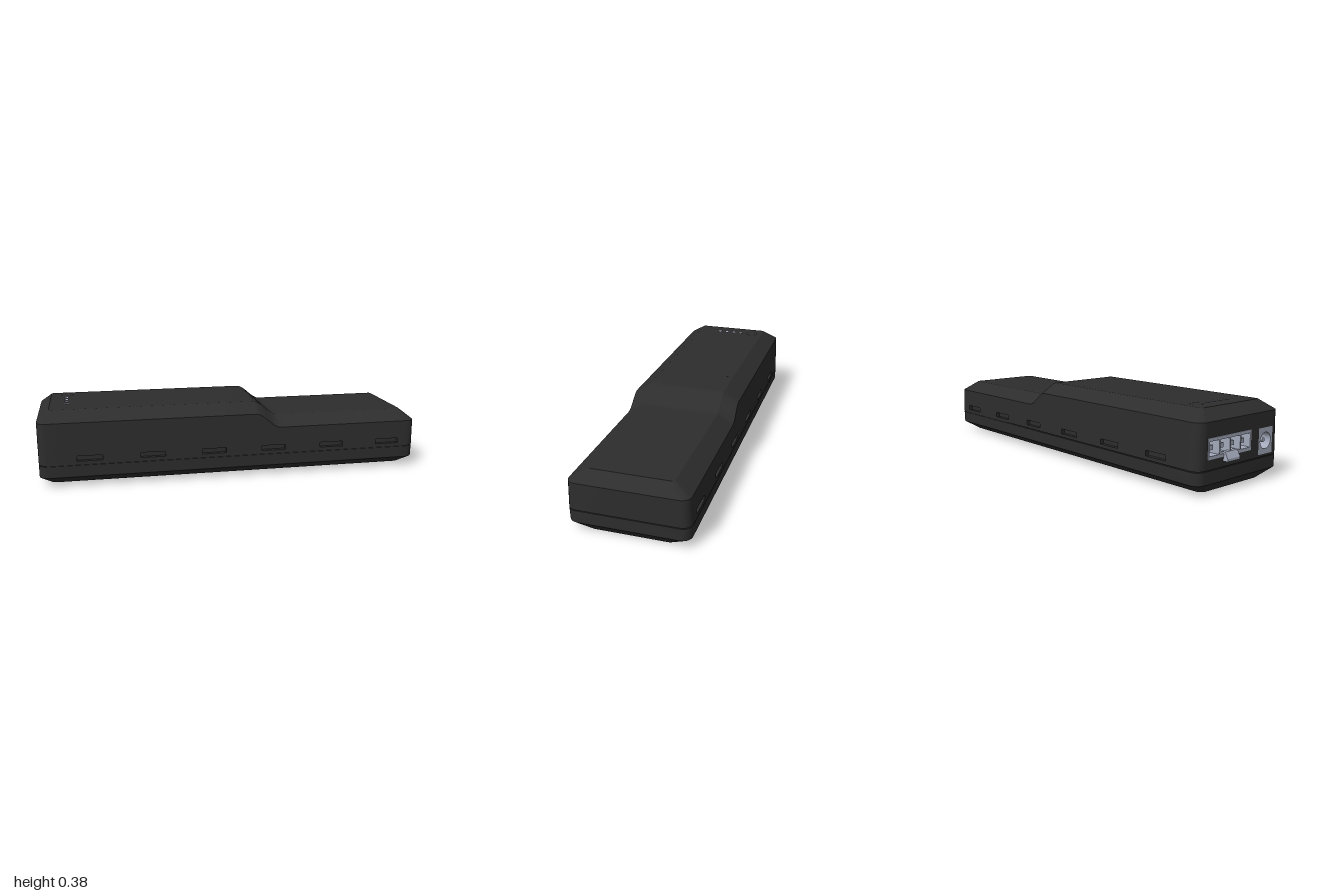
import * as THREE from 'three';
import { toCreasedNormals } from 'three/addons/utils/BufferGeometryUtils.js';

const mat = (name, color) => new THREE.MeshStandardMaterial({ name, color });
const END = -0.975; // x of the connector end face
const SEAM = 0.114;

// Height of the stepped lid along the length
const topAt = x => 0.375 - 0.075 * THREE.MathUtils.smoothstep(x, 0.12, 0.25);
// Half depth of the walls, with a slight draft
const halfDepth = y => 0.287 - 0.033 * (y - 0.11);

// Lengthwise columns between the corner arcs; slot edges are doubled
function makeColumns() {
  const cols = [];
  for (let i = 0; i < 6; i++) {
    const c = -0.725 + i * 0.313;
    const a = c - 0.0625, b = c + 0.0625;
    cols.push({ x: a, slot: false }, { x: a, slot: true }, { x: b, slot: true }, { x: b, slot: false });
  }
  const slots = [...cols];
  for (let i = 0; i <= 12; i++) {
    const x = 0.12 + (0.13 * i) / 12;
    const slot = slots.some((s, k) => k % 4 === 1 && x > s.x && x < slots[k + 1].x);
    cols.push({ x, slot });
  }
  return cols.sort((p, q) => p.x - q.x);
}

// One closed outline: front edge left to right, then back edge right to left
function makeRing(cols, { y, x0 = END, x1 = 0.998, hz, r = 0.045, slotDepth = 0 }) {
  const height = typeof y === 'function' ? y : () => y;
  const front = [];
  const add = (x, inset = 0) => {
    const h = height(x);
    return z => front.push(new THREE.Vector3(x, h, (z ?? hz ?? halfDepth(h)) - inset));
  };
  const arc = (cx, side) => {
    for (let i = 0; i <= 6; i++) {
      const t = ((side < 0 ? i : 6 - i) / 6) * Math.PI / 2;
      const x = cx + side * r * Math.cos(t);
      const d = hz ?? halfDepth(height(x));
      add(x)(d - r + r * Math.sin(t));
    }
  };
  arc(x0 + r, -1);
  cols.forEach(c => add(c.x, c.slot ? slotDepth : 0)());
  arc(x1 - r, 1);
  const back = front.map(p => new THREE.Vector3(p.x, p.y, -p.z)).reverse();
  return [...front, ...back];
}

function makeShell() {
  const cols = makeColumns();
  const g = 0.005; // seam groove depth
  const groove = { x0: END + g, x1: 0.998 - g, hz: 0.287 - g };
  const rings = [
    { y: 0, x0: -0.925, x1: 0.955, hz: 0.203, r: 0.03 },
    { y: 0.05, hz: 0.285 },
    { y: 0.11 },
    { y: 0.11, ...groove },
    { y: SEAM, ...groove },
    { y: SEAM },
    { y: 0.131 },
    { y: 0.131, slotDepth: 0.02 },
    { y: 0.157, slotDepth: 0.02 },
    { y: 0.157 },
    { y: x => topAt(x) - 0.05 },
    { y: topAt, x0: -0.915, x1: 0.938, hz: 0.2, r: 0.012 }
  ].map(o => makeRing(cols, o));

  const pos = [];
  const area = new THREE.Triangle();
  const tri = (a, b, c) => {
    if (area.set(a, b, c).getArea() > 1e-9) for (const p of [a, b, c]) pos.push(p.x, p.y, p.z);
  };
  const quad = (a, b, c, d) => { tri(a, b, c); tri(a, c, d); };
  const m = rings[0].length;
  for (let k = 0; k < rings.length - 1; k++) {
    for (let i = 0; i < m; i++) {
      if (i === m - 1 && k >= 5 && k <= 9) continue; // connector panel goes here
      const j = (i + 1) % m;
      quad(rings[k][i], rings[k][j], rings[k + 1][j], rings[k + 1][i]);
    }
  }
  const lid = rings[rings.length - 1], base = rings[0];
  for (let i = 0; i < m / 2 - 1; i++) {
    quad(lid[i], lid[i + 1], lid[m - 2 - i], lid[m - 1 - i]);
    quad(base[m - 1 - i], base[m - 2 - i], base[i + 1], base[i]);
  }
  const geo = new THREE.BufferGeometry();
  geo.setAttribute('position', new THREE.Float32BufferAttribute(pos, 3));
  return toCreasedNormals(geo, 0.4);
}

const rect = (z0, z1, y0, y1, Type = THREE.Path) => new Type([[z0, y0], [z1, y0], [z1, y1], [z0, y1]]
  .map(p => new THREE.Vector2(...p)));

// Extrudes a (z, y) shape inward from the connector end
function endExtrude(shape, depth, front = END) {
  return new THREE.ExtrudeGeometry(shape, { depth, bevelEnabled: false, curveSegments: 24 })
    .rotateY(-Math.PI / 2).translate(front + depth, 0, 0);
}

export function createModel() {
  const group = new THREE.Group();
  const black = mat('blackCase', 0x2d2d2d);
  const dark = mat('darkGroove', 0x121212);
  const grey = mat('greyConnector', 0xa4aabc);
  const add = (name, geo, material, x = 0, y = 0, z = 0) => {
    const mesh = new THREE.Mesh(geo, material);
    mesh.name = name;
    mesh.position.set(x, y, z);
    group.add(mesh);
    return mesh;
  };

  add('caseShell', makeShell(), black);

  // End panel with openings for the two connectors
  const socket = [-0.225, 0.07, 0.16, 0.255];
  const jack = [0.13, 0.232, 0.125, 0.25];
  const lo = halfDepth(SEAM) - 0.045, hi = halfDepth(0.325) - 0.045;
  const panel = new THREE.Shape([[-lo, SEAM], [lo, SEAM], [hi, 0.325], [-hi, 0.325]]
    .map(p => new THREE.Vector2(...p)));
  panel.holes.push(rect(...socket), rect(...jack));
  add('connectorPanel', endExtrude(panel, 0.02), black);

  // Four-way socket: housing, back and pins
  const housing = rect(...socket, THREE.Shape);
  for (let i = 0; i < 4; i++) {
    const z = -0.217 + i * 0.0715;
    housing.holes.push(rect(z, z + 0.0645, 0.175, 0.24));
    add('socketPin', new THREE.BoxGeometry(0.05, 0.022, 0.022), grey, END + 0.04, 0.2075, z + 0.032);
  }
  add('socketHousing', endExtrude(housing, 0.06, END - 0.003), grey);
  add('socketBack', endExtrude(rect(...socket, THREE.Shape), 0.01, END + 0.057), grey);

  // Latch under the socket
  const latch = new THREE.Shape([[-0.965, 0.14], [-0.965, 0.182], [-0.984, 0.182], [-1, 0.152], [-1, 0.14]]
    .map(p => new THREE.Vector2(...p)));
  add('socketLatch', new THREE.ExtrudeGeometry(latch, { depth: 0.085, bevelEnabled: false }), grey, 0, 0, -0.12);

  // Round power jack
  const jackFace = rect(...jack, THREE.Shape);
  jackFace.holes.push(new THREE.Path().absarc(0.181, 0.188, 0.039, 0, Math.PI * 2, true));
  add('jackHousing', endExtrude(jackFace, 0.07), grey);
  add('jackBack', endExtrude(rect(...jack, THREE.Shape), 0.01, END + 0.07), grey);
  add('jackPin', new THREE.CylinderGeometry(0.011, 0.011, 0.06, 16).rotateZ(Math.PI / 2), grey, END + 0.042, 0.188, 0.181);

  // Button outline, indicator lights and pinhole on the lid
  const flat = geo => geo.rotateX(-Math.PI / 2);
  add('buttonGroove', flat(new THREE.RingGeometry(0.029, 0.034, 40)), dark, -0.83, 0.3757, -0.138);
  for (let i = 0; i < 4; i++) {
    const z = -0.065 + i * 0.0443;
    add('lightRim', flat(new THREE.RingGeometry(0.009, 0.013, 20)), dark, -0.83, 0.3757, z);
    add('indicatorLight', new THREE.CylinderGeometry(0.0095, 0.0095, 0.003, 20), grey, -0.83, 0.375, z);
  }
  add('pinhole', flat(new THREE.CircleGeometry(0.007, 16)), dark, -0.08, 0.3757, -0.168);

  return group;
}
